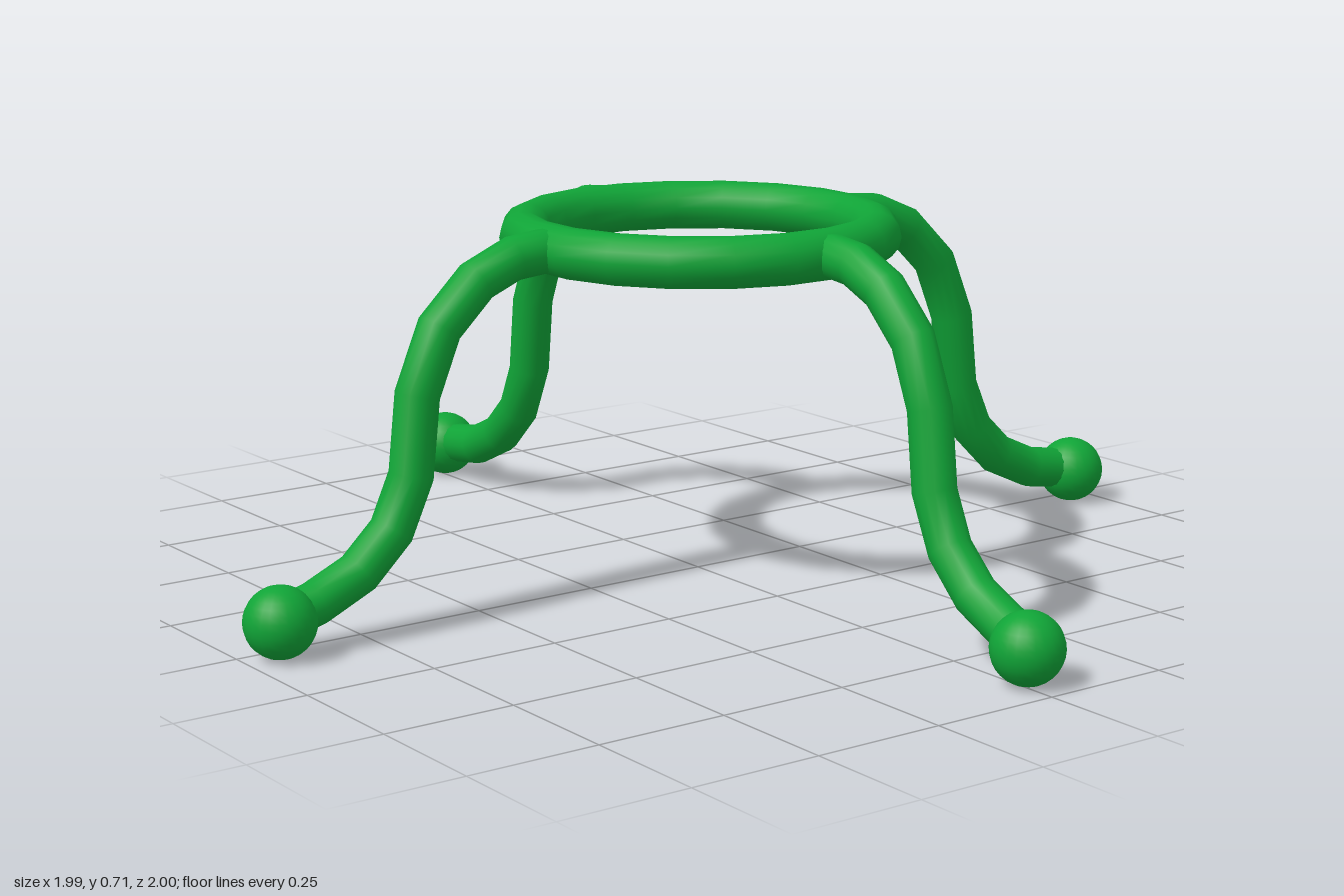
import * as THREE from 'three';

export function createModel() {
  const model = new THREE.Group();
  const green = new THREE.MeshStandardMaterial({ color: 0x10a437 });
  const add = (geometry, name, x, y, z) => {
    const mesh = new THREE.Mesh(geometry, green);
    mesh.name = name;
    mesh.position.set(x, y, z);
    model.add(mesh);
    return mesh;
  };

  // Top ring
  const ringX = 0.032, ringZ = 0.018, ringY = 0.662;
  const ring = new THREE.TorusGeometry(0.331, 0.047, 14, 20);
  ring.rotateZ(Math.PI / 20).rotateX(-Math.PI / 2);
  add(ring, 'topRing', ringX, ringY, ringZ);

  // Leg profile: distance out from the ring centre, height
  const profile = [
    [0.31, 0.662], [0.36, 0.662], [0.42, 0.656], [0.498, 0.623], [0.577, 0.547],
    [0.625, 0.432], [0.641, 0.288], [0.684, 0.193], [0.753, 0.127], [0.843, 0.086],
  ];
  const footY = 0.067;

  // Each leg: outward direction, its line across, and its foot centre
  const legs = [
    { name: 'left', dx: 1, dz: 0, foot: [0.928, -0.009] },
    { name: 'right', dx: -1, dz: 0, foot: [-0.933, -0.009] },
    { name: 'front', dx: 0, dz: 1, foot: [0.043, 0.935] },
    { name: 'back', dx: 0, dz: -1, foot: [0.043, -0.936] },
  ];
  for (const { name, dx, dz, foot } of legs) {
    const baseX = dx ? ringX : 0.034;
    const baseZ = dx ? -0.016 : ringZ;
    const points = profile.map(([r, y]) => new THREE.Vector3(baseX + dx * r, y, baseZ + dz * r));
    points.push(new THREE.Vector3(foot[0], footY + 0.003, foot[1]));

    // One tube section per profile point keeps the faceted bends
    const curve = new THREE.CatmullRomCurve3(points);
    curve.getPointAt = curve.getPoint;
    curve.getTangentAt = curve.getTangent;
    add(new THREE.TubeGeometry(curve, points.length - 1, 0.041, 14), name + 'Leg', 0, 0, 0);

    // Ball foot
    add(new THREE.SphereGeometry(0.066, 24, 16), name + 'Foot', foot[0], footY, foot[1]);
  }
  return model;
}
